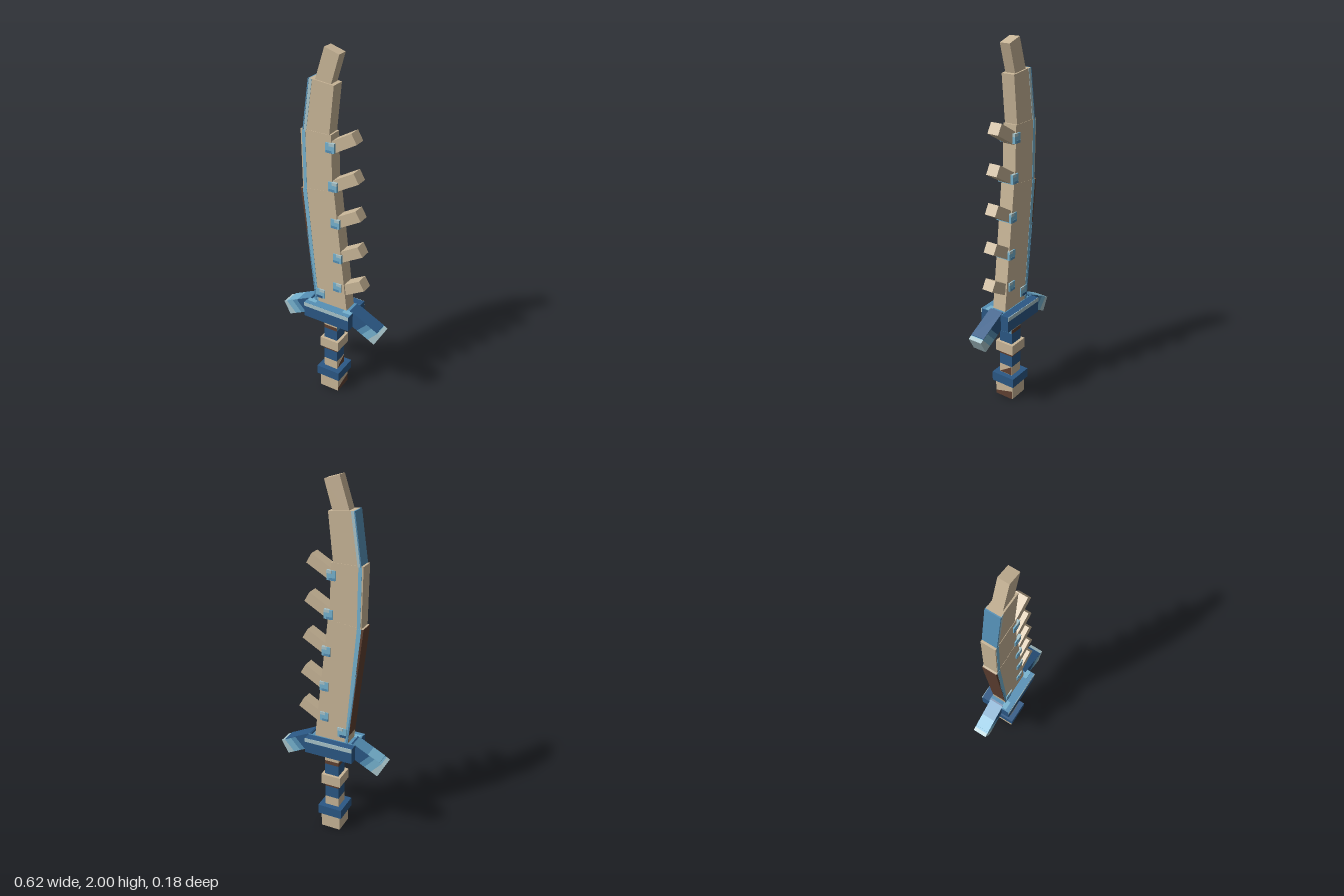
import * as THREE from 'three';

export function createModel() {
  const root = new THREE.Group();
  root.name = 'sawtoothSword';

  const paint = (name, hex) => {
    const m = new THREE.MeshStandardMaterial({ color: hex });
    m.name = name;
    return m;
  };
  const bone = paint('bone', 0xc9b698);
  const navy = paint('navy', 0x2b5885);
  const mid = paint('midBlue', 0x5590b6);
  const light = paint('lightBlue', 0x76b3d0);
  const pale = paint('paleBlue', 0xa9c5cb);
  const brown = paint('brown', 0x5f4031);

  const add = (name, geo, mat) => {
    const m = new THREE.Mesh(geo, mat);
    m.name = name;
    root.add(m);
    return m;
  };
  // Flat outline in x and y, extruded evenly about a middle z
  const prism = (name, pts, depth, mat, z = 0) => {
    const shape = new THREE.Shape(pts.map(([x, y]) => new THREE.Vector2(x, y)));
    const geo = new THREE.ExtrudeGeometry(shape, { depth, bevelEnabled: false });
    return add(name, geo.translate(0, 0, z - depth / 2), mat);
  };
  // Box given by width, depth and its bottom and top height
  const block = (name, w, d, y0, y1, mat, x = -0.003, z = 0) => {
    const m = add(name, new THREE.BoxGeometry(w, y1 - y0, d), mat);
    m.position.set(x, (y0 + y1) / 2, z);
    return m;
  };
  const lerp = (a, b, t) => [a[0] + (b[0] - a[0]) * t, a[1] + (b[1] - a[1]) * t];

  // Handle
  block('pommel', 0.114, 0.114, 0, 0.09, bone);
  block('pommelBase', 0.112, 0.112, -0.0005, 0.002, brown);
  prism('pommelStain', [[-0.055, 0], [0.055, 0], [0.055, 0.05], [-0.055, 0.02]], 0.002, brown)
    .rotateY(Math.PI / 2).position.set(0.054, 0, 0);
  block('pommelRing', 0.142, 0.142, 0.09, 0.145, navy);
  block('gripRing', 0.114, 0.114, 0.29, 0.35, bone);
  const bands = [
    [0.145, 0.2, bone], [0.2, 0.268, navy], [0.268, 0.29, brown],
    [0.35, 0.415, navy], [0.415, 0.437, brown], [0.437, 0.49, bone],
  ];
  for (const [y0, y1, mat] of bands) block('gripBand', 0.082, 0.082, y0, y1, mat);
  block('gripSidePanel', 0.004, 0.08, 0.415, 0.49, mid, 0.037);
  prism('gripStain', [[-0.04, 0.147], [0.04, 0.147], [0.04, 0.2]], 0.002, brown)
    .rotateY(Math.PI / 2).position.set(0.038, 0, 0);

  // Guard
  block('guard', 0.28, 0.178, 0.49, 0.58, navy);
  block('guardTop', 0.278, 0.134, 0.578, 0.582, mid, -0.003, 0.022);
  for (const s of [-1, 1]) {
    block('guardTrim', 0.28, 0.004, 0.557, 0.58, pale, -0.003, s * 0.089);
    block('guardTopPatch', 0.05, 0.03, 0.58, 0.583, light, s * 0.11, 0.05);
  }

  // Guard wings, banded from navy at the root to pale at the tip
  const topA = [0.12, 0.589], topB = [0.312, 0.493];
  const lowA = [0.12, 0.497], lowB = [0.272, 0.42];
  const cuts = [[0, 0], [0.55, 0.3], [0.7, 0.5], [0.9, 0.75], [1, 1]];
  const wingMats = [navy, mid, light, pale];
  for (const s of [-1, 1]) {
    const side = ([x, y]) => [s * x - 0.002, y];
    wingMats.forEach((mat, i) => {
      const [t0, b0] = cuts[i], [t1, b1] = cuts[i + 1];
      prism('guardWing', [
        lerp(lowA, lowB, b0), lerp(lowA, lowB, b1), lerp(topA, topB, t1), lerp(topA, topB, t0),
      ].map(side), 0.08, mat);
    });
    const tops = s > 0 ? [[0.05, 0.88, navy]] : [[0.05, 0.5, mid], [0.5, 0.85, light]];
    for (const [t0, t1, mat] of tops) {
      const a = lerp(topA, topB, t0), b = lerp(topA, topB, t1);
      prism('wingTop', [a, b, [b[0], b[1] + 0.003], [a[0], a[1] + 0.003]].map(side), 0.08, mat);
    }
  }

  // Blade, four overlapping sections
  prism('lowerBlade', [[-0.098, 0.56], [0.1, 0.56], [0.018, 1.28], [-0.176, 1.257]], 0.08, bone);
  prism('middleBlade', [[-0.165, 1.2], [0.012, 1.2], [0, 1.58], [-0.173, 1.58]], 0.078, bone);
  prism('upperBlade', [[-0.156, 1.56], [-0.012, 1.56], [0.016, 1.828], [-0.12, 1.842]], 0.074, bone);
  prism('bladeTip', [[-0.104, 1.8], [-0.02, 1.775], [0.04, 1.975], [-0.04, 2]], 0.058, bone);

  // Coloured cutting edge
  prism('lowerEdgeBack', [[-0.1, 0.58], [-0.096, 0.58], [-0.165, 1.257], [-0.179, 1.257]], 0.081, brown);
  prism('lowerEdgeStrip', [[-0.097, 0.58], [-0.08, 0.58], [-0.143, 1.257], [-0.167, 1.257]], 0.083, light);
  prism('lowerEdgeShade', [[-0.099, 0.58], [-0.088, 0.58], [-0.145, 1.02], [-0.147, 1.02]], 0.085, mid);
  prism('middleEdgeStrip', [[-0.16, 1.257], [-0.142, 1.257], [-0.146, 1.575], [-0.165, 1.575]], 0.081, light);
  prism('upperEdgeStrip', [[-0.156, 1.575], [-0.141, 1.575], [-0.103, 1.84], [-0.12, 1.842]], 0.078, pale);
  prism('upperEdgeBack', [[-0.162, 1.575], [-0.155, 1.575], [-0.119, 1.842], [-0.125, 1.842]], 0.08, mid);

  // Teeth on the back of the blade, each with a clip at its root
  const clips = [[-0.003, 1.515], [0.013, 1.308], [0.027, 1.102], [0.04, 0.897], [0.04, 0.715]];
  const clip = (x, y, size, low) => {
    block('clip', size, 0.092, y - size / 2, y + size / 2, light, x);
    block('clipTop', size * 0.6, 0.094, y + size * 0.2, y + size / 2 + 0.001, pale, x + size * 0.2);
    block('clipBottom', size * 0.7, 0.094, y - size / 2 - 0.001, y - size * 0.25, low, x - size * 0.1);
  };
  clips.forEach(([x, y], i) => {
    const tooth = add('tooth', new THREE.BoxGeometry(0.16, 0.06, 0.064), bone);
    tooth.rotation.z = Math.PI / 6;
    tooth.position.set(0.055 + 0.0147 * i, 1.544 - 0.2045 * i, 0);
    clip(x, y, 0.05, mid);
  });
  clip(-0.066, 0.64, 0.054, navy);

  return root;
}
